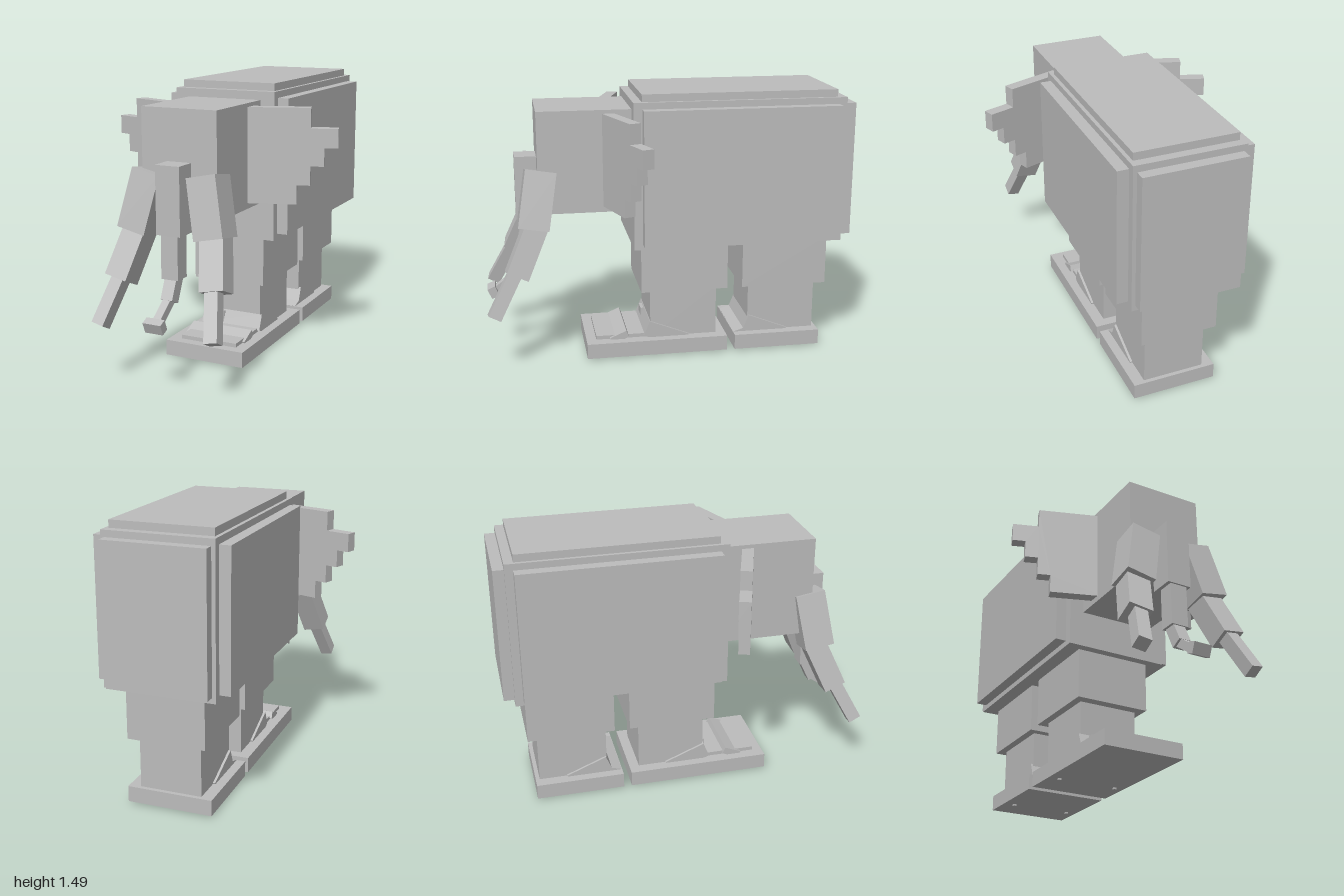
import * as THREE from 'three';

export function createModel() {
  const model = new THREE.Group();
  model.name = 'blockElephant';
  const grey = new THREE.MeshStandardMaterial({ color: 0xbcbcbc });
  grey.name = 'grey';

  const add = (name, geometry, parent = model) => {
    const mesh = new THREE.Mesh(geometry, grey);
    mesh.name = name;
    parent.add(mesh);
    return mesh;
  };
  // Box from its limits on each axis
  const block = (name, [x0, x1], [y0, y1], [z0, z1], parent) => {
    const mesh = add(name, new THREE.BoxGeometry(x1 - x0, y1 - y0, z1 - z0), parent);
    mesh.position.set((x0 + x1) / 2, (y0 + y1) / 2, (z0 + z1) / 2);
    return mesh;
  };
  // Box pitched about the x axis
  const tilted = (name, size, position, pitch, parent) => {
    const mesh = add(name, new THREE.BoxGeometry(...size), parent);
    mesh.position.set(...position);
    mesh.rotation.x = pitch;
    return mesh;
  };
  // Box running from point a down to point b
  const segment = (name, a, b, width, depth, parent) => {
    const start = new THREE.Vector3(...a), end = new THREE.Vector3(...b);
    const up = start.clone().sub(end);
    const mesh = add(name, new THREE.BoxGeometry(width, up.length(), depth), parent);
    up.normalize();
    const side = new THREE.Vector3(1, 0, 0).addScaledVector(up, -up.x).normalize();
    const front = side.clone().cross(up);
    mesh.quaternion.setFromRotationMatrix(new THREE.Matrix4().makeBasis(side, up, front));
    mesh.position.copy(start).add(end).multiplyScalar(0.5);
    return mesh;
  };

  // Body core with raised panels
  block('body', [-0.29, 0.29], [0.65, 1.445], [-0.943, 0.207]);
  block('backPanel', [-0.27, 0.27], [1.445, 1.485], [-0.895, 0.16]);
  block('rumpPanel', [-0.27, 0.27], [0.68, 1.41], [-1, -0.943]);
  block('rightFlankPanel', [-0.35, -0.29], [0.68, 1.41], [-0.9, 0.16]);
  block('leftFlankPanel', [0.29, 0.35], [0.68, 1.41], [-0.9, 0.16]);
  block('head', [-0.21, 0.21], [0.85, 1.4], [0.2, 0.705]);

  // Stepped ears, swept backwards
  const steps = [[0.365, 1.38, 1.275], [0.505, 1.275, 1.175], [0.435, 1.175, 1.08],
    [0.365, 1.08, 0.98], [0.296, 0.98, 0.88]];
  for (const s of [1, -1]) {
    const outline = new THREE.Shape();
    outline.moveTo(0, 0.88);
    outline.lineTo(0, 1.38);
    for (const [reach, top, bottom] of steps) {
      outline.lineTo(s * reach, top);
      outline.lineTo(s * reach, bottom);
    }
    outline.closePath();
    const geometry = new THREE.ExtrudeGeometry(outline, { depth: 0.062, bevelEnabled: false });
    geometry.translate(0, 0, -0.062);
    const ear = add(s > 0 ? 'leftEar' : 'rightEar', geometry);
    ear.position.set(s * 0.17, 0, 0.375);
    ear.rotation.y = s * 0.332;
  }

  // Tusks in three tapering segments
  for (const s of [1, -1]) {
    const tusk = new THREE.Group();
    tusk.name = s > 0 ? 'leftTusk' : 'rightTusk';
    model.add(tusk);
    segment('tuskRoot', [s * 0.153, 1.075, 0.69], [s * 0.218, 0.775, 0.74], 0.16, 0.165, tusk);
    segment('tuskMiddle', [s * 0.213, 0.79, 0.724], [s * 0.27, 0.535, 0.836], 0.128, 0.122, tusk);
    segment('tuskTip', [s * 0.262, 0.55, 0.843], [s * 0.317, 0.323, 0.963], 0.07, 0.072, tusk);
  }

  // Trunk curling forward
  const trunk = new THREE.Group();
  trunk.name = 'trunk';
  model.add(trunk);
  block('trunkRoot', [-0.067, 0.067], [0.785, 1.135], [0.69, 0.823], trunk);
  segment('trunkMiddle', [0, 0.8, 0.768], [0, 0.56, 0.77], 0.094, 0.09, trunk);
  segment('trunkLower', [0, 0.59, 0.757], [0, 0.452, 0.822], 0.066, 0.066, trunk);
  segment('trunkCurl', [0, 0.47, 0.805], [0, 0.37, 0.945], 0.042, 0.045, trunk);
  tilted('trunkTip', [0.1, 0.06, 0.045], [0, 0.367, 0.965], 0.4, trunk);

  // One broad leg in front and one behind, each on a slab foot
  const leg = (name, upper, lower, base, wedgeZ, studZ) => {
    const group = new THREE.Group();
    group.name = name;
    model.add(group);
    block('thigh', [-0.21, 0.21], [0.375, 0.65], upper, group);
    block('shin', [-0.167, 0.167], [0.09, 0.375], lower, group);
    block('footSlab', [-0.23, 0.23], [0.01, 0.095], base, group);
    tilted('instep', [0.36, 0.09, 0.24], [0, 0.104, wedgeZ], -0.38, group);
    for (const s of [1, -1]) {
      block('stud', [s * 0.17 - 0.008, s * 0.17 + 0.008], [0, 0.012],
        [studZ - 0.008, studZ + 0.008], group);
    }
    return group;
  };
  const front = leg('frontLeg', [-0.325, 0.16], [-0.27, 0.105], [-0.325, 0.465], 0.015, -0.12);
  const rear = leg('rearLeg', [-0.89, -0.41], [-0.838, -0.455], [-0.86, -0.37], -0.555, -0.685);

  // Toe details on top of the slabs
  block('toePlate', [-0.165, 0.165], [0.09, 0.116], [0.13, 0.41], front);
  tilted('toeRidge', [0.36, 0.04, 0.1], [0, 0.105, 0.28], 0.4, front);
  block('instepTab', [-0.12, -0.045], [0.11, 0.185], [0.1, 0.13], front);
  tilted('toeRidge', [0.36, 0.03, 0.09], [0, 0.095, -0.42], 0.3, rear);

  return model;
}
